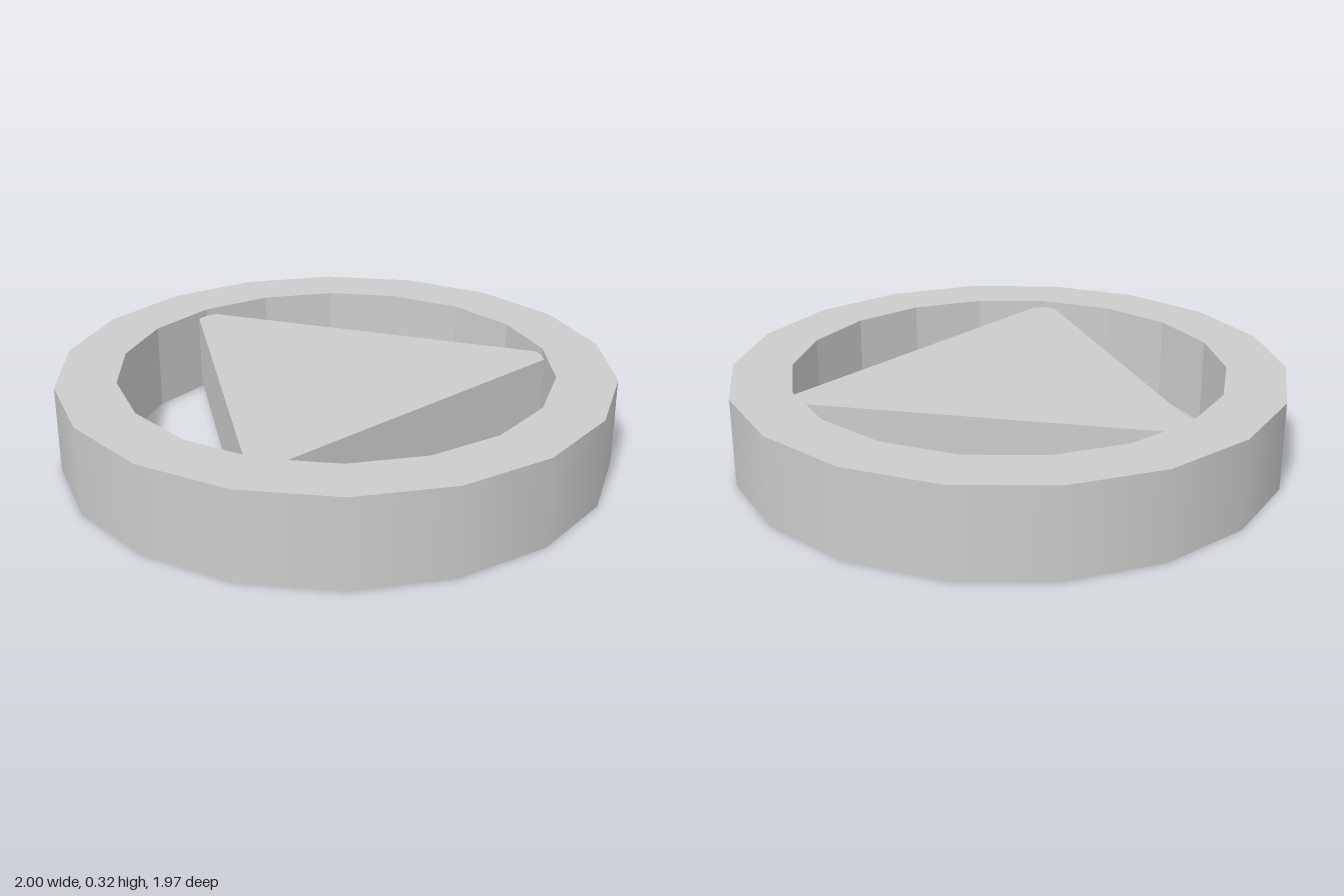
import * as THREE from 'three';

const SIDES = 18, HEIGHT = 0.32, OUTER = 1, INNER = 0.785;

export function createModel() {
  const group = new THREE.Group();
  const smooth = new THREE.MeshStandardMaterial({ color: 0xcccccc });
  const flat = new THREE.MeshStandardMaterial({ color: 0xcccccc, flatShading: true });

  const add = (name, parent, geometry, material) => {
    const mesh = new THREE.Mesh(geometry, material);
    mesh.name = name;
    parent.add(mesh);
    return mesh;
  };
  // Revolved profile with a corner on +x
  const revolve = (points) => new THREE.LatheGeometry(
    points.map(([r, y]) => new THREE.Vector2(r, y)), SIDES, Math.PI / 2);

  // Ring: smooth outer wall, faceted rims and inner wall
  const ring = new THREE.Group();
  ring.name = 'ring';
  group.add(ring);
  add('outerWall', ring, revolve([[OUTER, 0], [OUTER, HEIGHT]]), smooth);
  add('topRimAndInnerWall', ring, revolve([
    [OUTER, HEIGHT], [INNER, HEIGHT], [INNER, 0], [OUTER, 0],
  ]), flat);

  // Triangular plate, its corners sunk into the ring and its faces slightly recessed
  const plate = add('triangularPlate', group,
    new THREE.CylinderGeometry(0.85, 0.85, 0.266, 3, 1, false, Math.PI / 2), flat);
  plate.position.y = HEIGHT / 2;

  return group;
}
